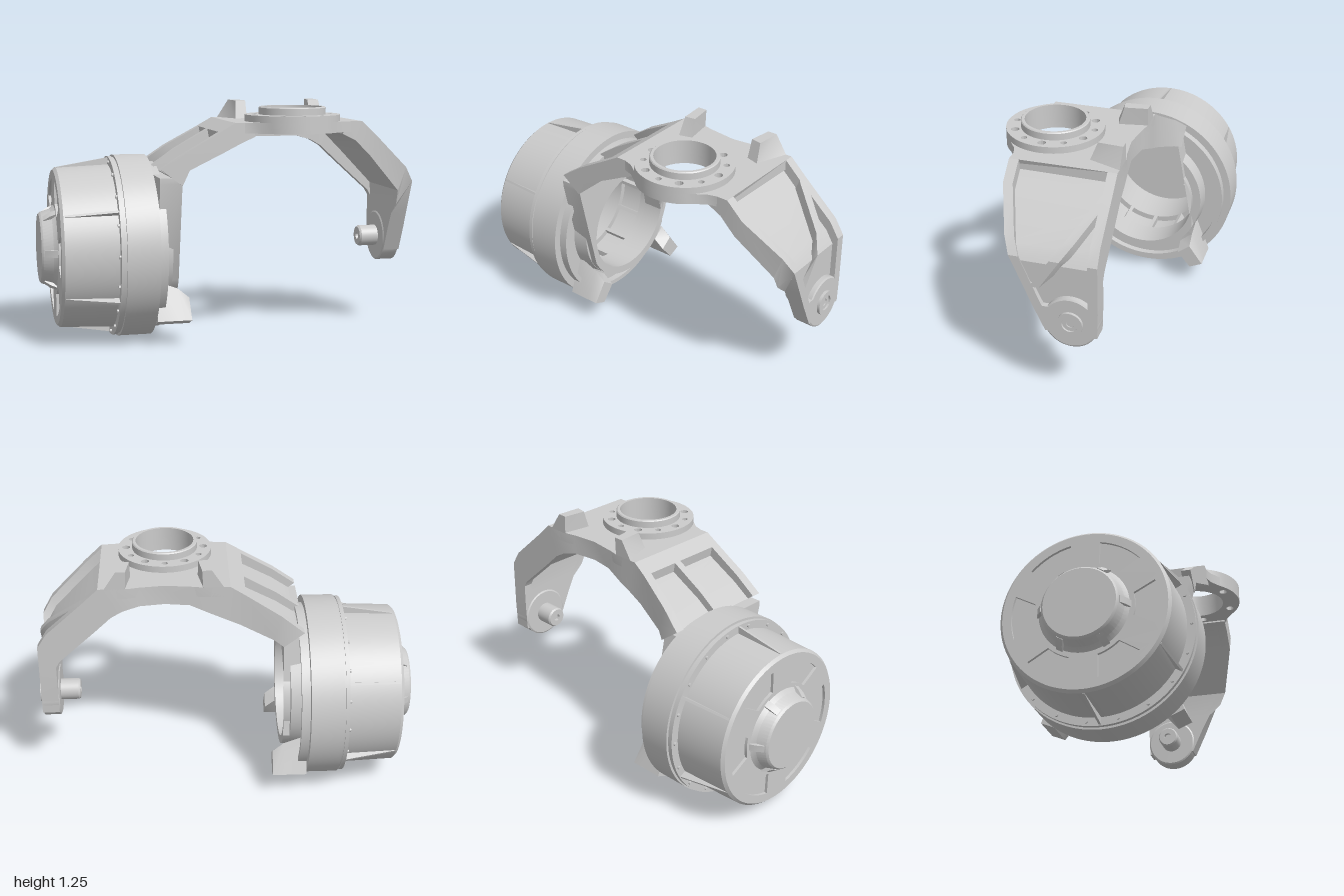
import * as THREE from 'three';
import { toCreasedNormals } from 'three/addons/utils/BufferGeometryUtils.js';

const AXLE_Y = 0.485, AXLE_Z = -0.03;
const mat = new THREE.MeshStandardMaterial({ color: 0xcccccc, side: THREE.DoubleSide });

function add(parent, name, geo) {
  const mesh = new THREE.Mesh(toCreasedNormals(geo, 0.5), mat);
  mesh.name = name;
  parent.add(mesh);
  return mesh;
}

// Skin a row of four-cornered sections and cap both ends
function loft(rings) {
  const pos = [];
  const quad = (a, b, c, d) => pos.push(...a, ...b, ...c, ...a, ...c, ...d);
  for (let i = 0; i < rings.length - 1; i++) {
    for (let j = 0; j < 4; j++) {
      const k = (j + 1) % 4;
      quad(rings[i][j], rings[i + 1][j], rings[i + 1][k], rings[i][k]);
    }
  }
  const end = rings[rings.length - 1];
  quad(...rings[0]);
  quad(end[3], end[2], end[1], end[0]);
  const g = new THREE.BufferGeometry();
  g.setAttribute('position', new THREE.Float32BufferAttribute(pos, 3));
  g.computeVertexNormals();
  return g;
}

// Revolve [radius, x] pairs about the axle
function turned(points, sides = 96) {
  return new THREE.LatheGeometry(points.map(p => new THREE.Vector2(...p)), sides)
    .rotateZ(-Math.PI / 2).translate(0, AXLE_Y, AXLE_Z);
}

// Extrude a (-z, y) outline from x0 to x1
function slab(shape, x0, x1) {
  return new THREE.ExtrudeGeometry(shape, { depth: x1 - x0, bevelEnabled: false, curveSegments: 32 })
    .rotateY(Math.PI / 2).translate(x0, 0, 0);
}

// Extrude an (x, -z) outline from y0 to y1
function deck(shape, y0, y1) {
  return new THREE.ExtrudeGeometry(shape, { depth: y1 - y0, bevelEnabled: false, curveSegments: 32 })
    .rotateX(-Math.PI / 2).translate(0, y0, 0);
}

const polygon = pts => new THREE.Shape(pts.map(p => new THREE.Vector2(...p)));
const circle = (x, y, r) => new THREE.Path().absarc(x, y, r, 0, Math.PI * 2, true);

// Arch stations: outer x, outer y, inner x, inner y, back z, front z, share of depth reached by the web
const S = {
  A: [-0.41, 0.92, -0.305, 0.84, -0.25, 0.38, 1],
  B: [-0.29, 1.005, -0.255, 0.865, -0.22, 0.38, 0.62],
  C1: [-0.11, 1.108, -0.08, 0.94, -0.18, 0.38, 0.62],
  C: [-0.03, 1.155, 0.02, 0.98, -0.17, 0.38, 0.6],
  D: [0.06, 1.155, 0.09, 1.012, -0.17, 0.38, 0.5],
  D1: [0.15, 1.155, 0.18, 1.05, -0.16, 0.38, 0.5],
  M: [0.31, 1.155, 0.31, 1.05, -0.14, 0.38, 0.5],
  E1: [0.47, 1.155, 0.44, 1.05, -0.16, 0.38, 0.5],
  E: [0.56, 1.155, 0.53, 1.025, -0.17, 0.38, 0.5],
  F: [0.65, 1.155, 0.59, 0.99, -0.17, 0.38, 0.6],
  F2: [0.74, 1.07, 0.67, 0.915, -0.17, 0.38, 0.62],
  G: [0.93, 0.90, 0.87, 0.735, -0.17, 0.308, 0.75],
  H: [0.98, 0.82, 0.89, 0.70, -0.17, 0.274, 1],
  K: [0.98, 0.66, 0.89, 0.64, -0.17, 0.206, 1],
  L: [0.98, 0.56, 0.89, 0.56, -0.17, 0.164, 1],
  J: [0.98, 0.42, 0.89, 0.42, -0.165, 0.1, 1],
};

// Strip along the arch: z0/z1 from a rule, from depth share t0 to t1 (or to the station's web depth)
function strip(names, zRange, t0 = 0, t1 = null) {
  return loft(names.split(' ').map((n, i) => {
    const s = S[n], [z0, z1] = zRange(s, i), t = t1 ?? s[6];
    const at = (u, z) => [s[0] + (s[2] - s[0]) * u, s[1] + (s[3] - s[1]) * u, z];
    return [at(t0, z0), at(t0, z1), at(t, z1), at(t, z0)];
  }));
}

// Bore and bolt holes of the turntable; the small holes are blind
function turntableHoles(shape, withBlind) {
  shape.holes.push(circle(0.305, -0.26, 0.155));
  for (let i = 0; i < 12; i++) {
    const a = i * Math.PI / 6, blind = i % 2 === 1;
    if (blind && !withBlind) continue;
    shape.holes.push(circle(0.305 + 0.207 * Math.cos(a), -0.26 + 0.207 * Math.sin(a), blind ? 0.016 : 0.021));
  }
}

function buildArch(root) {
  const g = new THREE.Group();
  g.name = 'archFork';
  root.add(g);
  const full = s => [s[4] + 0.01, s[5] - 0.01];
  const front = s => [s[5] - 0.05, s[5]];
  // Edge ribs; the back one is deeper
  add(g, 'backRib', strip('A B C1 C D D1 M E1 E F F2 G H K L J', s => [s[4], s[4] + 0.05], 0, 1));
  add(g, 'rightArmFrontRib', strip('A B C1 C D', front));
  add(g, 'leftArmFrontRib', strip('E F F2 G H K L J', front));
  // Recessed webs and solid transitions
  add(g, 'rightArmWeb', strip('A B C1 C D', full, 0.32));
  add(g, 'leftArmWeb', strip('E F F2 G H K L J', full, 0.32));
  add(g, 'rightShoulder', strip('C1 C D', full));
  add(g, 'leftShoulder', strip('E F', full));
  add(g, 'leftArmEnd', strip('L J', full));
  // Ribs dividing the pockets
  add(g, 'diagonalRib', strip('F2 G H K', (s, i) => {
    const z = [-0.14, -0.015, 0.045, 0.15][i];
    return [z - 0.025, z + 0.025];
  }, 0, 0.5));
  add(g, 'middleRib', strip('A B C1', () => [0.045, 0.085], 0, 0.5));

  // Top plate, bulging forward under the turntable
  const edge = [[-0.03, 0.375], [0.02, 0.38], [0.07, 0.395], [0.105, 0.42]];
  const pts = edge.map(([x, z]) => [x, -z]);
  for (let i = 0; i <= 16; i++) {
    const a = THREE.MathUtils.degToRad(225 + i * 90 / 16);
    pts.push([0.305 + 0.25 * Math.cos(a), -0.26 + 0.25 * Math.sin(a)]);
  }
  pts.push(...edge.reverse().map(([x, z]) => [0.61 - x, -z]));
  pts.push([0.65, 0.17], [0.5, 0.17], [0.4, 0.147], [0.31, 0.138], [0.21, 0.147], [0.11, 0.17], [-0.03, 0.17]);
  const top = polygon(pts);
  turntableHoles(top, false);
  add(g, 'topPlate', deck(top, 1.1, 1.155));

  // Bolt flange and raised collar
  const disc = new THREE.Shape().absarc(0.305, -0.26, 0.25, 0, Math.PI * 2);
  turntableHoles(disc, true);
  add(g, 'boltFlange', deck(disc, 1.11, 1.19));
  const collar = [[0.155, 1.1], [0.175, 1.1], [0.175, 1.225], [0.17, 1.23], [0.155, 1.23], [0.155, 1.1]];
  add(g, 'collar', new THREE.LatheGeometry(collar.map(p => new THREE.Vector2(...p)), 64).translate(0.305, 0, 0.26));

  // Mirrored steering stops
  for (const m of [-1, 1]) {
    const P = (x, y, z) => [0.31 + m * x, y, z];
    add(g, 'steeringStop', loft([
      [P(0.31, 1.15, -0.17), P(0.2, 1.15, -0.17), P(0.175, 1.15, -0.02), P(0.245, 1.15, 0)],
      [P(0.245, 1.25, -0.17), P(0.195, 1.25, -0.17), P(0.178, 1.25, -0.05), P(0.235, 1.25, -0.04)],
    ]));
  }
}

function buildPivot(root) {
  const g = new THREE.Group();
  g.name = 'pivotEnd';
  root.add(g);
  add(g, 'pivotBoss', turned([[0, 0.885], [0.13, 0.885], [0.138, 0.89], [0.138, 0.975], [0.13, 0.98], [0, 0.98]], 48));
  add(g, 'pivotPin', turned([[0, 0.8], [0.02, 0.8], [0.02, 0.78], [0.05, 0.78], [0.057, 0.79], [0.057, 0.95],
    [0.065, 0.95], [0.065, 0.995], [0.04, 0.995], [0.04, 0.985], [0.02, 0.985], [0.02, 0.96], [0, 0.96]], 40));
}

function buildDrum(root) {
  const g = new THREE.Group();
  g.name = 'wheelDrum';
  root.add(g);
  // Housing from the outer face, over the band, into the bore
  add(g, 'drumHousing', turned([[0, -0.905], [0.385, -0.905], [0.385, -0.92], [0.41, -0.92], [0.424, -0.905],
    [0.435, -0.63], [0.478, -0.63], [0.478, -0.61], [0.472, -0.61], [0.472, -0.6], [0.485, -0.6], [0.485, -0.43],
    [0.445, -0.43], [0.445, -0.385], [0.42, -0.385], [0.42, -0.42], [0.34, -0.42], [0.33, -0.34], [0.285, -0.34],
    [0.285, -0.46], [0.33, -0.46], [0.33, -0.62], [0.3, -0.62], [0.3, -0.85], [0.2, -0.85], [0.2, -0.8], [0, -0.8]]));

  // End face with six sector windows
  const face = new THREE.Shape().absarc(-AXLE_Z, AXLE_Y, 0.39, 0, Math.PI * 2);
  for (let i = 0; i < 6; i++) {
    const a = i * Math.PI / 3, pts = [];
    for (let k = 0; k <= 8; k++) pts.push([0.365, a - 0.32 + k * 0.08]);
    for (let k = 8; k >= 0; k--) pts.push([0.25, a - 0.24 + k * 0.06]);
    face.holes.push(new THREE.Path(pts.map(([r, t]) =>
      new THREE.Vector2(-AXLE_Z + r * Math.cos(t), AXLE_Y + r * Math.sin(t)))));
  }
  add(g, 'windowedFace', slab(face, -0.92, -0.9));
  add(g, 'hubCap', turned([[0, -1], [0.18, -1], [0.19, -0.99], [0.205, -0.94], [0.225, -0.92], [0.225, -0.9]], 64));

  // Parts repeated around the axle
  const around = (name, n, start, make) => {
    for (let i = 0; i < n; i++) {
      const m = add(g, name, make());
      m.position.set(0, AXLE_Y, AXLE_Z);
      m.rotation.x = start + i * Math.PI * 2 / n;
    }
  };
  around('drumGusset', 6, 0, () => loft([-0.006, 0.006].map(z =>
    [[-0.9, 0.415, z], [-0.62, 0.415, z], [-0.62, 0.474, z], [-0.9, 0.427, z]])));
  around('hubCapRib', 6, Math.PI / 6, () => loft([-0.018, 0.018].map(z =>
    [[-0.915, 0.15, z], [-0.915, 0.235, z], [-0.95, 0.22, z], [-0.985, 0.195, z]])));
  around('boreRib', 12, 0, () => new THREE.BoxGeometry(0.16, 0.035, 0.02).translate(-0.54, 0.315, 0));
  around('bandBolt', 18, 0.15, () =>
    new THREE.CylinderGeometry(0.009, 0.009, 0.02, 10).rotateZ(Math.PI / 2).translate(-0.63, 0.457, 0));
  around('hubBolt', 6, Math.PI / 2, () =>
    new THREE.CylinderGeometry(0.01, 0.01, 0.02, 12).rotateZ(Math.PI / 2).translate(-0.845, 0.215, 0));
}

function buildMount(root) {
  const g = new THREE.Group();
  g.name = 'drumMount';
  root.add(g);
  // Side plate around the bore
  const pts = [[0.225, 0.88], [-0.375, 0.88], [-0.375, 0.85]];
  for (let i = 0; i <= 24; i++) {
    const a = THREE.MathUtils.degToRad(207 + i * 126 / 24);
    pts.push([-AXLE_Z + 0.328 * Math.cos(a), AXLE_Y + 0.328 * Math.sin(a)]);
  }
  const plate = polygon(pts);
  plate.holes.push(circle(-AXLE_Z, AXLE_Y, 0.285));
  add(g, 'sidePlate', slab(plate, -0.42, -0.305));

  // Mirrored feet below the bore
  for (const m of [-1, 1]) {
    const foot = (x, top, inner) => [[0.295, top], [0.37, 0.135], [0.3, 0.105], [0.228, inner]]
      .map(([z, y]) => [x, y, AXLE_Z + m * z]);
    add(g, 'foot', loft([foot(-0.43, 0.335, 0.235), foot(-0.31, 0.29, 0.235), foot(-0.25, 0.24, 0.19)]));
  }
}

export function createModel() {
  const root = new THREE.Group();
  root.name = 'wheelFork';
  buildArch(root);
  buildPivot(root);
  buildDrum(root);
  buildMount(root);
  return root;
}
